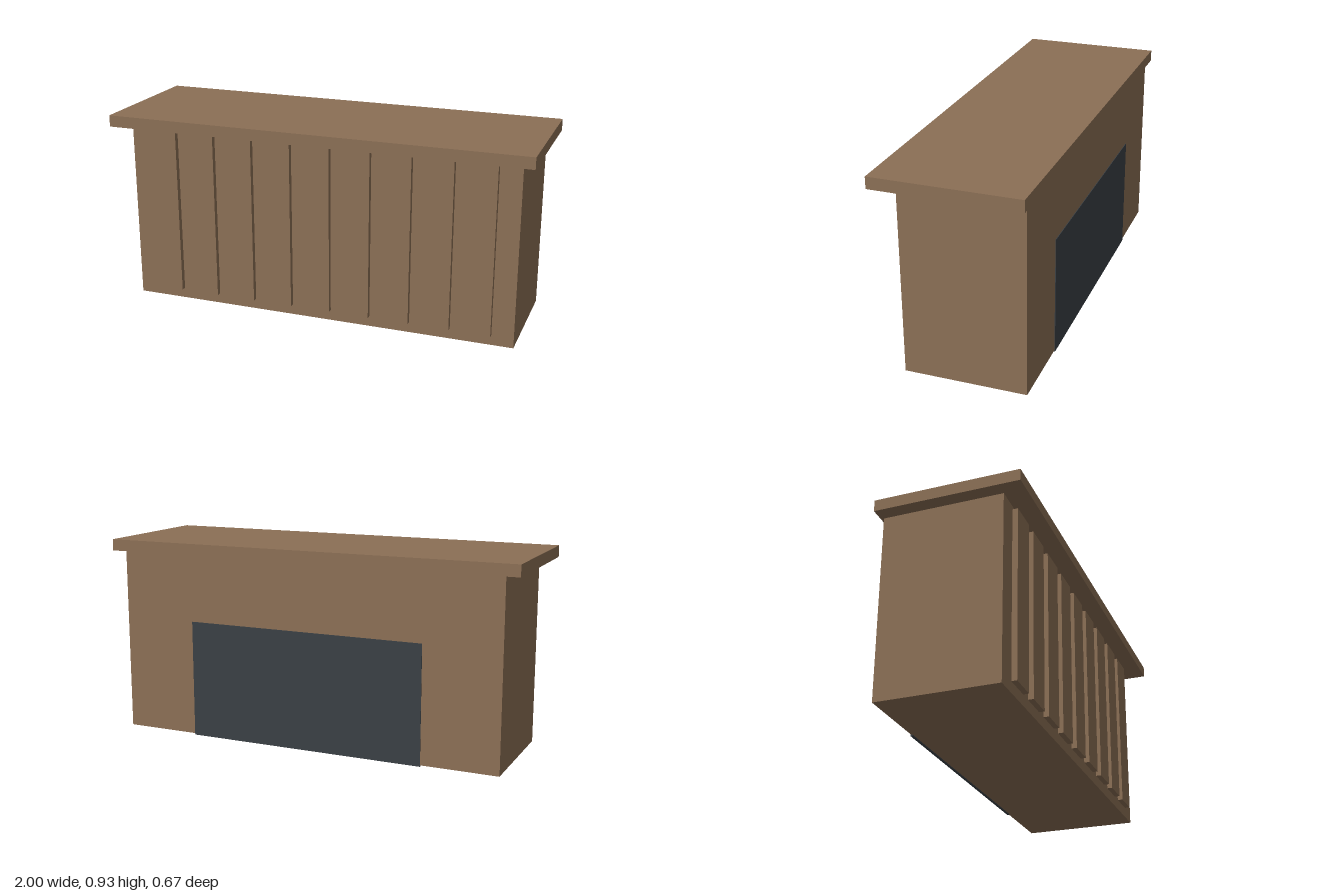
import * as THREE from 'three';

export function createModel() {
  const wood = new THREE.MeshStandardMaterial({ color: 0x8b6f55 });
  wood.name = 'brown wood';
  const dark = new THREE.MeshStandardMaterial({ color: 0x3a4045 });
  dark.name = 'dark slate';

  const group = new THREE.Group();
  group.name = 'counter';

  // Box given by its lower and upper limits on each axis
  function addBox(name, material, [x0, x1], [y0, y1], [z0, z1]) {
    const mesh = new THREE.Mesh(new THREE.BoxGeometry(x1 - x0, y1 - y0, z1 - z0), material);
    mesh.position.set((x0 + x1) / 2, (y0 + y1) / 2, (z0 + z1) / 2);
    mesh.name = name;
    group.add(mesh);
  }

  // Cabinet and overhanging top
  addBox('body', wood, [-0.935, 0.935], [0.006, 0.872], [-0.318, 0.235]);
  addBox('counterTop', wood, [-1, 1], [0.872, 0.926], [-0.333, 0.333]);

  // Row of raised slats on the front
  const slats = 9, spacing = 0.1915, slatWidth = 0.135;
  for (let i = 0; i < slats; i++) {
    const x = (i - (slats - 1) / 2) * spacing;
    addBox('frontSlat' + (i + 1), wood,
      [x - slatWidth / 2, x + slatWidth / 2], [0.056, 0.856], [0.235, 0.26]);
  }

  // Dark opening at the back, standing just proud of the body
  addBox('backPanel', dark, [-0.575, 0.575], [0, 0.555], [-0.321, -0.312]);

  return group;
}
